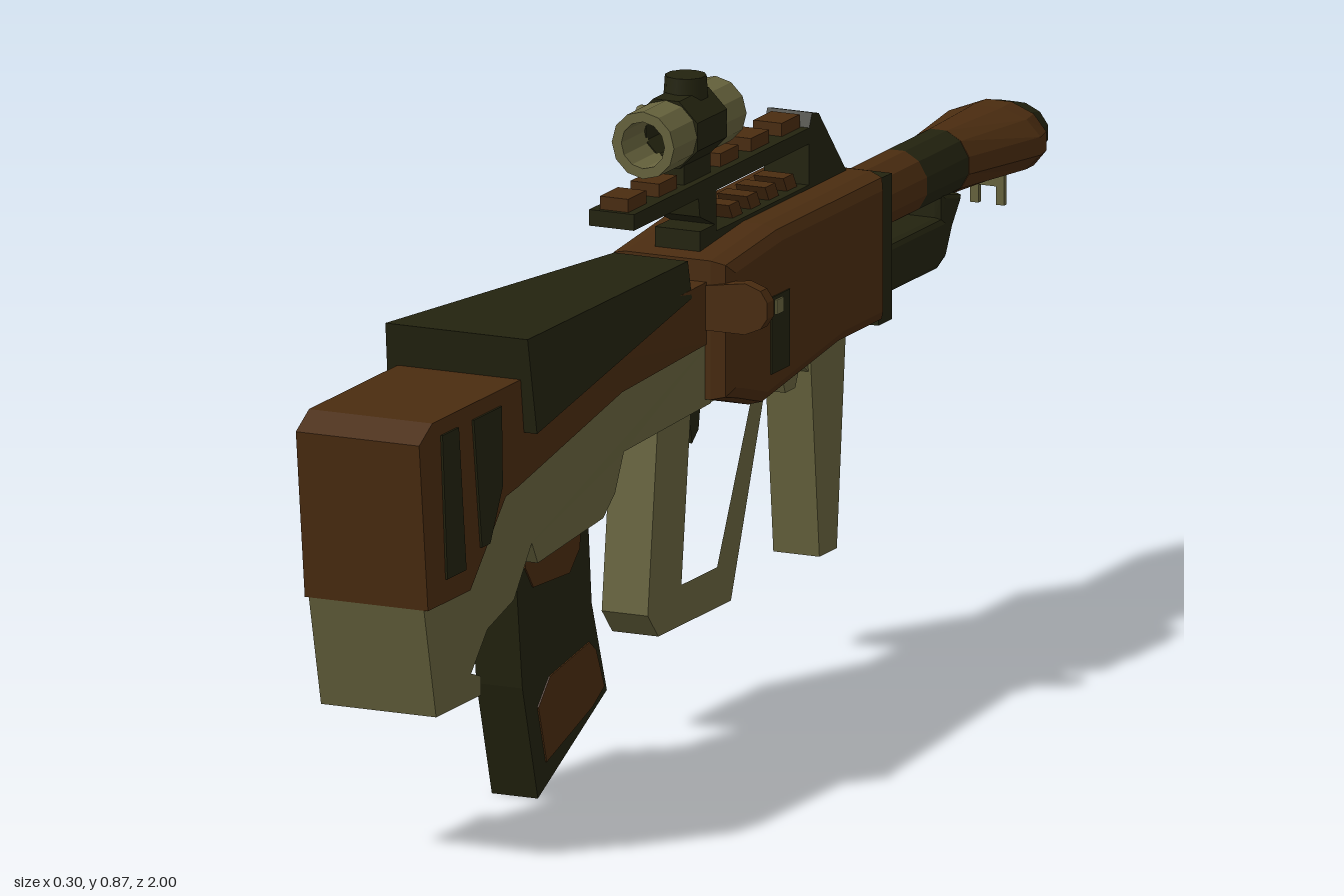
import * as THREE from 'three';

const mat = (name, color) => Object.assign(new THREE.MeshStandardMaterial({ color }), { name });

export function createModel() {
  const brown = mat('brown', 0x4a2c10), dark = mat('dark olive', 0x23230f);
  const khaki = mat('khaki', 0x67633d), amber = mat('amber lens', 0xc87c10);
  const model = new THREE.Group();

  const add = (name, geo, material, x = 0, y = 0, z = 0) => {
    const m = new THREE.Mesh(geo, material);
    m.name = name;
    m.position.set(x, y, z);
    model.add(m);
    return m;
  };
  const box = (name, w, h, d, material, x, y, z) =>
    add(name, new THREE.BoxGeometry(w, h, d), material, x, y, z);
  const path = (pts) => pts.map(([a, b]) => new THREE.Vector2(a, b));

  // Side profile in (z, y), extruded symmetrically across x
  const side = (name, pts, half, material, { hole, bevel = 0, widthAt } = {}) => {
    const shape = new THREE.Shape(path(pts));
    if (hole) shape.holes.push(new THREE.Path(path(hole)));
    const depth = 2 * (half - bevel);
    const geo = new THREE.ExtrudeGeometry(shape, {
      depth, bevelEnabled: bevel > 0, bevelThickness: bevel, bevelSize: bevel * 0.7,
      bevelOffset: -bevel * 0.7, bevelSegments: 2,
    });
    geo.translate(0, 0, -depth / 2).rotateY(-Math.PI / 2);
    if (widthAt) {
      const p = geo.attributes.position;
      for (let i = 0; i < p.count; i++) {
        p.setX(i, Math.sign(p.getX(i)) * widthAt(p.getZ(i), p.getY(i)));
      }
      geo.computeVertexNormals();
    }
    return add(name, geo, material);
  };
  // Thin painted plates on both sides
  const plates = (name, pts, x, material) => {
    for (const s of [-1, 1]) side(name, pts, 0.003, material).position.x = s * x;
  };
  const taper = (wide, narrow) => (z) =>
    narrow + (wide - narrow) * THREE.MathUtils.clamp((z - 0.06) / 0.64, 0, 1);

  // Stock: straight butt and tapering fore part
  side('buttStock', [[1, 0.6], [0.96, 0.622], [0.7, 0.622], [0.7, 0.477], [0.737, 0.472],
    [0.844, 0.368], [0.973, 0.368]], 0.091, brown);
  side('foreStock', [[0.7, 0.622], [0.04, 0.61], [0.04, 0.525], [0.345, 0.525], [0.7, 0.477]],
    0.091, brown, { widthAt: taper(0.091, 0.056) });
  plates('stockSlot', [[0.935, 0.6], [0.885, 0.6], [0.862, 0.4], [0.92, 0.4]], 0.091, dark);
  plates('stockSlot', [[0.84, 0.6], [0.755, 0.6], [0.752, 0.49], [0.79, 0.42], [0.815, 0.42]], 0.091, dark);

  // Raised cheek piece, a little narrower along its top
  side('cheekPiece', [[0.7, 0.68], [0.68, 0.547], [0.11, 0.6], [0.11, 0.65]], 0.1, dark,
    { widthAt: (z, y) => taper(0.111, 0.056)(z) - (y > 0.62 ? 0.006 : 0) });

  // Lower stock with the toe at the rear
  side('stockToe', [[0.973, 0.368], [0.844, 0.368], [0.737, 0.472], [0.7, 0.477], [0.7, 0.322],
    [0.78, 0.3], [0.83, 0.25], [0.8, 0.24], [0.8, 0.214], [0.936, 0.214]], 0.085, khaki);
  side('lowerStock', [[0.7, 0.477], [0.345, 0.525], [0.04, 0.525], [0.04, 0.44], [0.33, 0.44],
    [0.36, 0.39], [0.4, 0.365], [0.62, 0.354], [0.64, 0.386], [0.7, 0.322]],
    0.085, khaki, { widthAt: taper(0.085, 0.054) });

  // Curved magazine with painted patches
  side('magazine', [[0.59, 0.4], [0.59, 0.33], [0.57, 0.166], [0.523, 0.005], [0.314, 0.107],
    [0.36, 0.236], [0.375, 0.4]], 0.034, dark);
  plates('magazinePatch', [[0.57, 0.385], [0.39, 0.385], [0.4, 0.32], [0.43, 0.293], [0.54, 0.298],
    [0.565, 0.33]], 0.033, brown);
  plates('magazinePatch', [[0.525, 0.13], [0.49, 0.165], [0.37, 0.185], [0.35, 0.17], [0.325, 0.115],
    [0.36, 0.095], [0.5, 0.05]], 0.033, brown);

  // Receiver, front collar and side details
  side('receiver', [[0.06, 0.64], [0.06, 0.45], [0.02, 0.44], [-0.055, 0.418], [-0.29, 0.45],
    [-0.425, 0.45], [-0.425, 0.655], [-0.1, 0.655]], 0.091, brown, { bevel: 0.028 });
  box('frontCollar', 0.16, 0.2, 0.04, dark, 0, 0.547, -0.435);
  plates('receiverSlot', [[-0.065, 0.565], [-0.12, 0.565], [-0.12, 0.46], [-0.065, 0.46]], 0.09, dark);
  plates('receiverPin', [[-0.075, 0.56], [-0.095, 0.56], [-0.095, 0.54], [-0.075, 0.54]], 0.093, khaki);
  for (const s of [-1, 1]) {
    const knob = new THREE.Shape(path([[0.05, 0.545], [0.115, 0.545], [0.138, 0.555], [0.148, 0.57],
      [0.148, 0.592], [0.138, 0.607], [0.115, 0.615], [0.05, 0.605]]));
    const geo = new THREE.ExtrudeGeometry(knob, { depth: 0.02, bevelEnabled: false });
    if (s < 0) geo.rotateY(Math.PI).translate(0, 0, 0.02);
    add('sideKnob', geo, brown, 0, 0, 0.042);
  }

  // Trigger guard, trigger and foregrip
  side('triggerGuard', [[0.158, 0.45], [0.19, 0.18], [0.158, 0.145], [-0.062, 0.145], [-0.18, 0.45]],
    0.034, khaki, { hole: [[0.06, 0.43], [0.088, 0.2], [-0.02, 0.2], [-0.135, 0.43]] });
  side('trigger', [[0.035, 0.45], [0.02, 0.4], [0.015, 0.375], [-0.005, 0.39], [-0.015, 0.45]], 0.014, dark);
  side('gripBridge', [[-0.16, 0.46], [-0.18, 0.43], [-0.22, 0.425], [-0.235, 0.39], [-0.265, 0.39],
    [-0.28, 0.42], [-0.31, 0.4], [-0.32, 0.46]], 0.03, khaki);
  side('foregrip', [[-0.3, 0.455], [-0.33, 0.145], [-0.383, 0.145], [-0.412, 0.455]], 0.034, khaki);

  // Sight rail on two supports, with teeth above and ribs below
  box('rail', 0.066, 0.022, 0.54, dark, 0, 0.727, -0.04);
  side('railFront', [[-0.3, 0.735], [-0.31, 0.757], [-0.33, 0.752], [-0.418, 0.65], [-0.3, 0.64]], 0.033, dark);
  side('railRearPost', [[0.035, 0.72], [0.03, 0.69], [-0.015, 0.67], [-0.02, 0.63], [-0.02, 0.72]], 0.033, dark);
  box('railRearBase', 0.066, 0.05, 0.05, dark, 0, 0.645, 0.005);
  box('receiverTopStrip', 0.066, 0.02, 0.42, dark, 0, 0.65, -0.2);
  for (let i = 0; i < 6; i++) box('railTooth', 0.042, 0.02, 0.055, brown, 0, 0.746, 0.195 - i * 0.093);
  for (let i = 0; i < 4; i++) {
    const z = -0.08 - i * 0.055;
    side('topRib', [[z, 0.68], [z - 0.015, 0.655], [z - 0.045, 0.655], [z - 0.03, 0.68]], 0.022, brown);
  }

  // Hollow scope tube with a lens at the far end
  const lathe = (name, pts, seg, material, y) => {
    const geo = new THREE.LatheGeometry(path(pts), seg).rotateX(Math.PI / 2).toNonIndexed();
    geo.computeVertexNormals();
    return add(name, geo, material, 0, y, 0);
  };
  const hollow = (inner, outer, a, b) => [[inner, a], [outer, a], [outer, b], [inner, b], [inner, a]];
  const scopeY = 0.808;
  lathe('scopeRear', hollow(0.032, 0.046, 0.06, 0.135), 12, khaki, scopeY);
  lathe('scopeBody', hollow(0.032, 0.05, -0.025, 0.065), 8, dark, scopeY).rotation.z = Math.PI / 8;
  lathe('scopeFront', hollow(0.034, 0.046, -0.085, -0.02), 12, khaki, scopeY);
  const lens = amber;
  lens.side = THREE.DoubleSide;
  add('lens', new THREE.CircleGeometry(0.036, 16), lens, 0, scopeY, -0.075);
  add('topDial', new THREE.CylinderGeometry(0.028, 0.03, 0.03, 10), dark, 0, 0.861, 0.005);
  add('sideDial', new THREE.CylinderGeometry(0.019, 0.019, 0.026, 10).rotateZ(Math.PI / 2), khaki, -0.056, scopeY, 0.005);
  box('scopeMount', 0.044, 0.038, 0.08, dark, 0, 0.753, 0.015);

  // Barrel in painted sections: [z, half width, half height, centre y]
  const tube = (name, rings, material) => {
    const n = 12, pos = [], idx = [];
    for (const [z, rx, ry, cy] of rings) {
      for (let i = 0; i < n; i++) {
        const a = ((i + 0.5) / n) * Math.PI * 2;
        pos.push(rx * Math.cos(a), cy + ry * Math.sin(a), z);
      }
    }
    for (let r = 0; r < rings.length - 1; r++) {
      for (let i = 0; i < n; i++) {
        const a = r * n + i, b = r * n + (i + 1) % n;
        idx.push(a, a + n, b, b, a + n, b + n);
      }
    }
    const last = (rings.length - 1) * n;
    for (let i = 1; i < n - 1; i++) idx.push(0, i, i + 1, last, last + i + 1, last + i);
    const geo = new THREE.BufferGeometry();
    geo.setAttribute('position', new THREE.Float32BufferAttribute(pos, 3));
    geo.setIndex(idx);
    const flat = geo.toNonIndexed();
    flat.computeVertexNormals();
    return add(name, flat, material);
  };
  tube('barrelRear', [[-0.44, 0.046, 0.046, 0.585], [-0.635, 0.046, 0.046, 0.585]], brown);
  tube('barrelMiddle', [[-0.635, 0.046, 0.046, 0.585], [-0.76, 0.046, 0.046, 0.585]], dark);
  tube('muzzleFlare', [[-0.76, 0.047, 0.046, 0.585], [-0.91, 0.081, 0.048, 0.582],
    [-0.945, 0.072, 0.05, 0.58]], brown);
  tube('muzzleTip', [[-0.945, 0.066, 0.049, 0.58], [-0.97, 0.052, 0.046, 0.578],
    [-1, 0.047, 0.038, 0.577]], dark);
  side('lowerTube', [[-0.44, 0.525], [-0.44, 0.457], [-0.69, 0.457], [-0.715, 0.468], [-0.735, 0.505],
    [-0.765, 0.545], [-0.7, 0.56], [-0.7, 0.525]], 0.036, dark, { bevel: 0.012 });

  // Small lug under the muzzle
  box('muzzleLug', 0.05, 0.02, 0.008, khaki, 0, 0.53, -0.912);
  for (const s of [-1, 1]) box('lugProng', 0.012, 0.03, 0.008, khaki, s * 0.019, 0.51, -0.912);

  return model;
}
